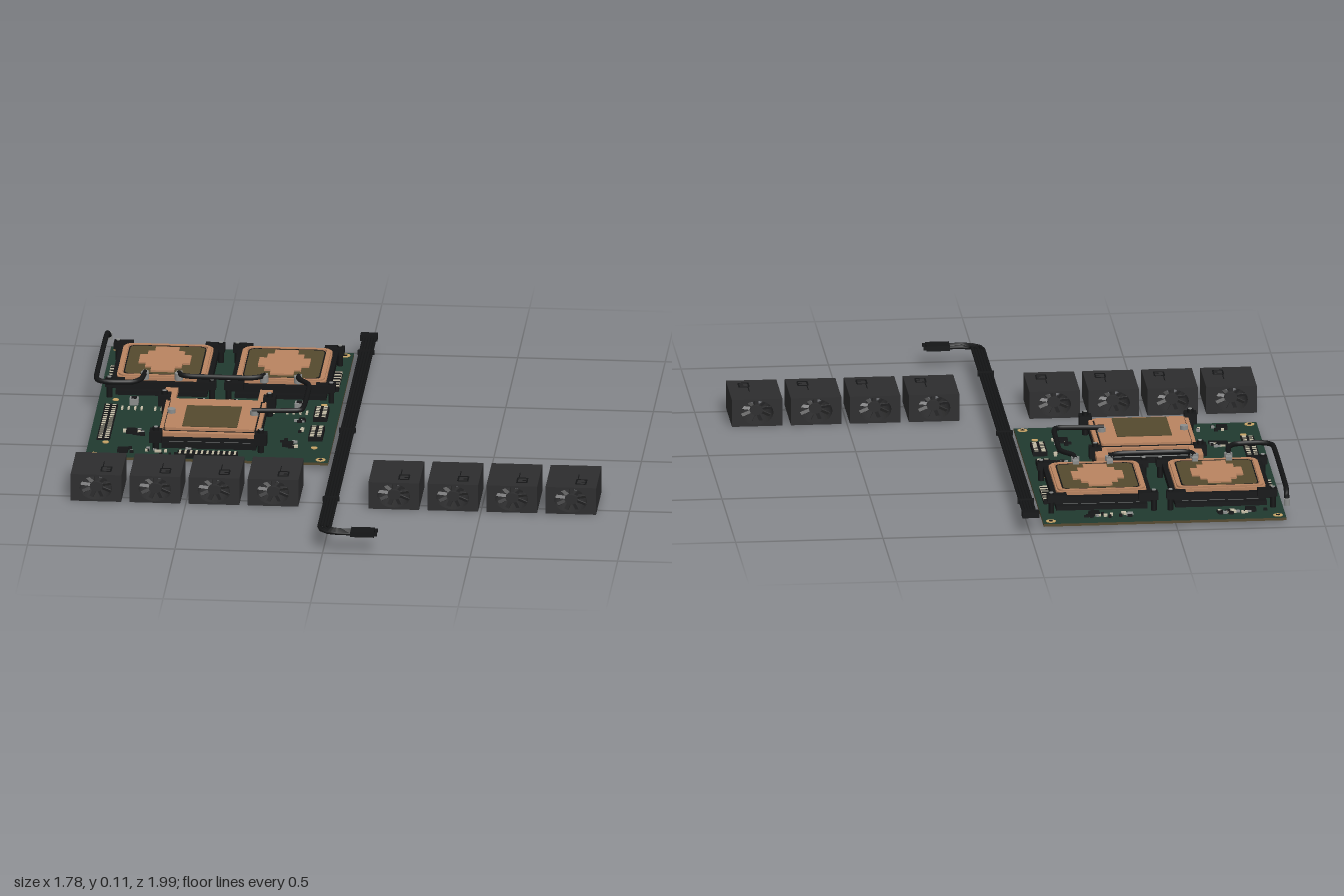
import * as THREE from 'three';

const mat = (name, color, side = THREE.FrontSide) => {
  const m = new THREE.MeshStandardMaterial({ color, side });
  m.name = name;
  return m;
};

export function createModel() {
  const root = new THREE.Group();
  const green = mat('boardGreen', 0x20392f);
  const olive = mat('olive', 0x54492e);
  const black = mat('black', 0x141516);
  const grey = mat('fanGrey', 0x2d2d2e, THREE.DoubleSide);
  const copper = mat('copper', 0xb98360);
  const steel = mat('steel', 0x8b8d8c);
  const gold = mat('gold', 0xc9a566);
  const cream = mat('cream', 0xc4bda6);

  const add = (parent, name, geo, m, x = 0, y = 0, z = 0) => {
    const mesh = new THREE.Mesh(geo, m);
    mesh.name = name;
    mesh.position.set(x, y, z);
    parent.add(mesh);
    return mesh;
  };
  const group = (name, x = 0, z = 0, parent = root) => {
    const g = new THREE.Group();
    g.name = name;
    g.position.set(x, 0, z);
    parent.add(g);
    return g;
  };
  // box from centre x, z, size and height range
  const box = (p, name, m, x, z, w, d, y0, y1) =>
    add(p, name, new THREE.BoxGeometry(w, y1 - y0, d), m, x, (y0 + y1) / 2, z);
  const disc = (p, name, m, x, z, r, y0, y1, n = 12) =>
    add(p, name, new THREE.CylinderGeometry(r, r, y1 - y0, n), m, x, (y0 + y1) / 2, z);
  const roundRect = (w, d, r, S = THREE.Shape) => {
    const s = new S(), a = w / 2, b = d / 2;
    s.moveTo(-a + r, -b).lineTo(a - r, -b).absarc(a - r, -b + r, r, -Math.PI / 2, 0);
    s.lineTo(a, b - r).absarc(a - r, b - r, r, 0, Math.PI / 2);
    s.lineTo(-a + r, b).absarc(-a + r, b - r, r, Math.PI / 2, Math.PI);
    s.lineTo(-a, -b + r).absarc(-a + r, -b + r, r, Math.PI, Math.PI * 1.5);
    return s;
  };
  // horizontal plate from a shape whose second axis is z
  const plate = (p, name, m, shape, y0, y1) => {
    const geo = new THREE.ExtrudeGeometry(shape, { depth: y1 - y0, bevelEnabled: false, curveSegments: 6 });
    return add(p, name, geo.rotateX(Math.PI / 2), m, 0, y1, 0);
  };
  const ring = (w, d, r, t) => {
    const s = roundRect(w, d, r);
    s.holes.push(roundRect(w - 2 * t, d - 2 * t, Math.max(r - t, 0.004), THREE.Path));
    return s;
  };
  const tube = (p, name, m, pts, r, tension = 0.3) => {
    const curve = new THREE.CatmullRomCurve3(pts.map(q => new THREE.Vector3(...q)), false, 'catmullrom', tension);
    return add(p, name, new THREE.TubeGeometry(curve, 60, r, 8), m);
  };

  // Circuit board with olive edge
  const board = group('circuitBoard');
  add(board, 'board', new THREE.BoxGeometry(0.823, 0.009, 1.103), [olive, olive, green, green, olive, olive], -0.4615, 0.0145, -0.3985);
  for (const [x, z] of [[-0.847, -0.92], [-0.077, -0.92], [-0.847, 0.127], [-0.077, 0.127]]) {
    disc(board, 'cornerPad', gold, x, z, 0.017, 0.009, 0.021);
    disc(board, 'cornerHole', black, x, z, 0.007, 0.0085, 0.022);
  }
  for (const [x, z] of [[-0.815, -0.417], [-0.108, -0.417], [-0.815, 0.008], [-0.108, 0.01]])
    disc(board, 'mountPad', gold, x, z, 0.011, 0.009, 0.022);

  // Pin headers: housing plus two rows of pins
  const header = (x, z, w, d, n, h = 0.035) => {
    const g = group('pinHeader', x, z, board);
    box(g, 'headerBody', black, 0, 0, w, d, 0.019, h);
    const alongZ = d > w, len = Math.max(w, d), off = Math.min(w, d) * 0.25;
    for (let i = 0; i < n; i++) for (const s of [-1, 1]) {
      const t = ((i + 0.5) / n - 0.5) * len;
      box(g, 'pin', cream, alongZ ? s * off : t, alongZ ? t : s * off, alongZ ? 0.014 : 0.007, alongZ ? 0.007 : 0.014, h - 0.005, h + 0.002);
    }
  };
  header(-0.825, -0.19, 0.045, 0.35, 17, 0.024);
  header(-0.11, -0.31, 0.048, 0.115, 7);
  header(-0.11, -0.115, 0.048, 0.115, 7);
  header(-0.842, -0.64, 0.024, 0.165, 6);
  header(-0.083, -0.64, 0.024, 0.165, 6);
  header(-0.46, 0.126, 0.205, 0.038, 11);

  // Small surface components
  for (let i = 0; i < 6; i++) {
    const x = -0.75 + i * 0.112;
    box(board, 'inductor', steel, x, -0.385, 0.03, 0.034, 0.019, 0.04);
    box(board, 'inductorTop', black, x, -0.385, 0.018, 0.018, 0.04, 0.043);
    for (let k = 0; k < 4; k++)
      box(board, 'capacitor', cream, x - 0.036 + k * 0.022, -0.333, 0.007, 0.026, 0.019, 0.025);
  }
  let seed = 7;
  const rnd = () => (seed = (seed * 16807) % 2147483647) / 2147483647;
  const scatter = (x0, x1, z0, z1, n) => {
    for (let i = 0; i < n; i++)
      box(board, 'chipPart', [black, cream, black, steel][i % 4], x0 + rnd() * (x1 - x0), z0 + rnd() * (z1 - z0), 0.008 + rnd() * 0.014, 0.008 + rnd() * 0.012, 0.019, 0.026);
  };
  scatter(-0.81, -0.64, -0.89, -0.855, 18);
  scatter(-0.36, -0.2, -0.89, -0.855, 18);
  scatter(-0.77, -0.69, -0.12, -0.07, 12);
  scatter(-0.77, -0.52, 0.06, 0.12, 16);
  scatter(-0.23, -0.17, -0.06, 0.02, 12);
  scatter(-0.19, -0.16, -0.27, -0.13, 8);
  for (const [x, z] of [[-0.76, -0.855], [-0.23, -0.855], [-0.735, -0.1], [-0.75, 0.09], [-0.2, -0.01]])
    box(board, 'regulatorChip', black, x, z, 0.036, 0.036, 0.019, 0.029);
  for (let i = 0; i < 50; i++)
    box(board, 'solderPoint', steel, -0.83 + rnd() * 0.74, 0.01, 0.006, 0.006, 0.008, 0.0105).position.z = -0.9 + rnd() * 1.0;

  // Two accelerator cold plates
  const quarter = [[0.04, 0.119], [0.04, 0.078], [0.062, 0.078], [0.062, 0.04], [0.087, 0.04]];
  const mirror = (sx, sz, rev) => (rev ? [...quarter].reverse() : quarter).map(([x, z]) => new THREE.Vector2(x * sx, z * sz));
  const cross = new THREE.Shape([...mirror(1, 1), ...mirror(1, -1, true), ...mirror(-1, -1), ...mirror(-1, 1, true)]);
  for (const x of [-0.665, -0.261]) {
    const g = group('acceleratorColdPlate', x, -0.635);
    box(g, 'socket', black, 0, 0, 0.31, 0.33, 0.019, 0.034);
    box(g, 'package', steel, 0, 0, 0.26, 0.28, 0.034, 0.05);
    plate(g, 'clampFrame', black, ring(0.338, 0.374, 0.01, 0.03), 0.05, 0.073);
    plate(g, 'copperBase', copper, roundRect(0.305, 0.33, 0.025), 0.056, 0.084);
    plate(g, 'copperRim', copper, ring(0.295, 0.32, 0.03, 0.013), 0.084, 0.09);
    plate(g, 'finField', olive, roundRect(0.262, 0.288, 0.026), 0.084, 0.088);
    plate(g, 'rimGroove', black, ring(0.262, 0.288, 0.026, 0.004), 0.084, 0.0887);
    plate(g, 'copperCross', copper, cross, 0.085, 0.094);
    for (const sx of [-1, 1]) for (const sz of [-1, 1]) {
      box(g, 'cornerBracket', black, sx * 0.155, sz * 0.187, 0.066, 0.036, 0.06, 0.085);
      disc(g, 'bracketPost', black, sx * 0.174, sz * 0.187, 0.01, 0.019, 0.09);
      disc(g, 'bracketScrew', steel, sx * 0.174, sz * 0.187, 0.007, 0.088, 0.093);
    }
    for (const fx of [-0.055, 0.06]) {
      disc(g, 'hoseFitting', steel, fx, 0.168, 0.014, 0.08, 0.105);
      box(g, 'fittingBlock', steel, fx, 0.148, 0.02, 0.03, 0.084, 0.1);
    }
  }

  // Processor cold plate
  const cpu = group('processorColdPlate', -0.462, -0.118);
  box(cpu, 'socket', black, 0, 0, 0.32, 0.33, 0.019, 0.036);
  box(cpu, 'package', steel, 0, 0, 0.28, 0.29, 0.036, 0.05);
  plate(cpu, 'clampFrame', black, ring(0.35, 0.36, 0.01, 0.03), 0.05, 0.062);
  plate(cpu, 'copperBase', copper, roundRect(0.34, 0.342, 0.012), 0.058, 0.076);
  plate(cpu, 'copperLid', copper, roundRect(0.305, 0.295, 0.01), 0.076, 0.086);
  plate(cpu, 'lidGroove', black, ring(0.313, 0.303, 0.012, 0.004), 0.076, 0.0775);
  plate(cpu, 'finField', olive, roundRect(0.186, 0.207, 0.004), 0.086, 0.089).position.z = 0.03;
  box(cpu, 'seamLine', black, 0, -0.152, 0.33, 0.005, 0.076, 0.078);
  for (const sx of [-1, 1]) {
    box(cpu, 'copperArm', copper, sx * 0.16, -0.222, 0.042, 0.11, 0.06, 0.078);
    disc(cpu, 'hoseFitting', steel, sx * 0.14, -0.004, 0.014, 0.08, 0.1);
    for (const sz of [-1, 1]) {
      box(cpu, 'cornerBracket', black, sx * 0.178, sz * 0.182, 0.042, 0.046, 0.05, 0.088);
      disc(cpu, 'bracketPost', black, sx * 0.178, sz * 0.182, 0.011, 0.019, 0.1);
      disc(cpu, 'bracketScrew', steel, sx * 0.178, sz * 0.182, 0.007, 0.098, 0.102);
    }
  }

  // Coolant hoses
  const hoses = group('coolantHoses');
  tube(hoses, 'inletHose', black, [[-0.877, 0.065, -0.93], [-0.878, 0.08, -0.9], [-0.88, 0.1, -0.84], [-0.88, 0.104, -0.42], [-0.865, 0.104, -0.37], [-0.83, 0.104, -0.358], [-0.755, 0.104, -0.365], [-0.727, 0.104, -0.4], [-0.72, 0.1, -0.48]], 0.009);
  disc(hoses, 'inletFitting', steel, -0.877, -0.925, 0.011, 0.055, 0.078);
  tube(hoses, 'linkHose', black, [[-0.605, 0.1, -0.48], [-0.595, 0.104, -0.45], [-0.56, 0.104, -0.437], [-0.37, 0.104, -0.437], [-0.33, 0.104, -0.45], [-0.316, 0.1, -0.48]], 0.009);
  tube(hoses, 'processorHose', black, [[-0.201, 0.1, -0.48], [-0.195, 0.104, -0.44], [-0.16, 0.104, -0.39], [-0.155, 0.104, -0.34], [-0.158, 0.104, -0.16], [-0.18, 0.104, -0.125], [-0.33, 0.1, -0.122]], 0.009);

  // Fan modules: hollow housing, ring opening, hub and twisted blades
  const housing = roundRect(0.172, 0.095, 0.002);
  const opening = new THREE.Path();
  opening.absellipse(0, 0, 0.055, 0.042, 0, Math.PI * 2, true);
  housing.holes.push(opening);
  const housingGeo = new THREE.ExtrudeGeometry(housing, { depth: 0.223, bevelEnabled: false, curveSegments: 20 });
  for (const side of [-1, 1]) for (let i = 0; i < 4; i++) {
    const f = group('fanModule', side * (0.2045 + i * 0.2), 0.433);
    add(f, 'fanHousing', housingGeo, grey, 0, 0.0475, -0.1115);
    for (const z of [-0.07, 0.085]) {
      const rotor = group('fanRotor', 0, z, f);
      rotor.position.y = 0.0475;
      rotor.scale.set(1.3, 1, 1);
      add(rotor, 'fanHub', new THREE.CylinderGeometry(0.017, 0.017, 0.03, 20).rotateX(Math.PI / 2), grey);
      for (let k = 0; k < 9; k++) {
        const blade = new THREE.BoxGeometry(0.026, 0.011, 0.003).rotateX(0.5).translate(0.029, 0, 0);
        add(rotor, 'fanBlade', blade.rotateZ(k * Math.PI * 2 / 9 + 0.2), grey);
      }
    }
    // latch outline and wire on top
    plate(f, 'latchFrame', black, ring(0.038, 0.05, 0.005, 0.005), 0.094, 0.0965).position.set(0.031, 0.0965, 0.054);
    box(f, 'latchLine', black, 0.018, 0.004, 0.003, 0.05, 0.094, 0.096);
    box(f, 'latchTab', black, 0.04, 0.056, 0.016, 0.004, 0.094, 0.0965);
  }

  // Ribbon of power wires turning toward the side connector
  const cable = group('powerCable');
  for (let i = 0; i < 5; i++) {
    const o = (i - 2) * 0.0095, r = 0.045 - o;
    const pts = [[o, 0.066, -0.985], [o, 0.066, -0.4], [o, 0.066, 0.3], [o, 0.066, 0.88]];
    for (let k = 0; k <= 6; k++) {
      const a = k / 6 * Math.PI / 2;
      pts.push([0.045 - r * Math.cos(a), 0.066, 0.92 + r * Math.sin(a)]);
    }
    pts.push([0.12, 0.066, 0.965 - o]);
    tube(cable, 'wire', black, pts, 0.0055, 0.5);
  }
  for (const z of [-0.83, -0.045, 0.64])
    box(cable, 'cableTie', black, 0, z, 0.056, 0.01, 0.058, 0.074);
  box(cable, 'rearPlug', black, -0.002, -0.983, 0.058, 0.034, 0.057, 0.077);
  box(cable, 'sidePlug', black, 0.133, 0.965, 0.08, 0.054, 0.057, 0.075);
  for (const s of [-1, 1])
    box(cable, 'plugTongue', black, 0.176, 0.965 + s * 0.02, 0.014, 0.008, 0.06, 0.072);
  return root;
}
